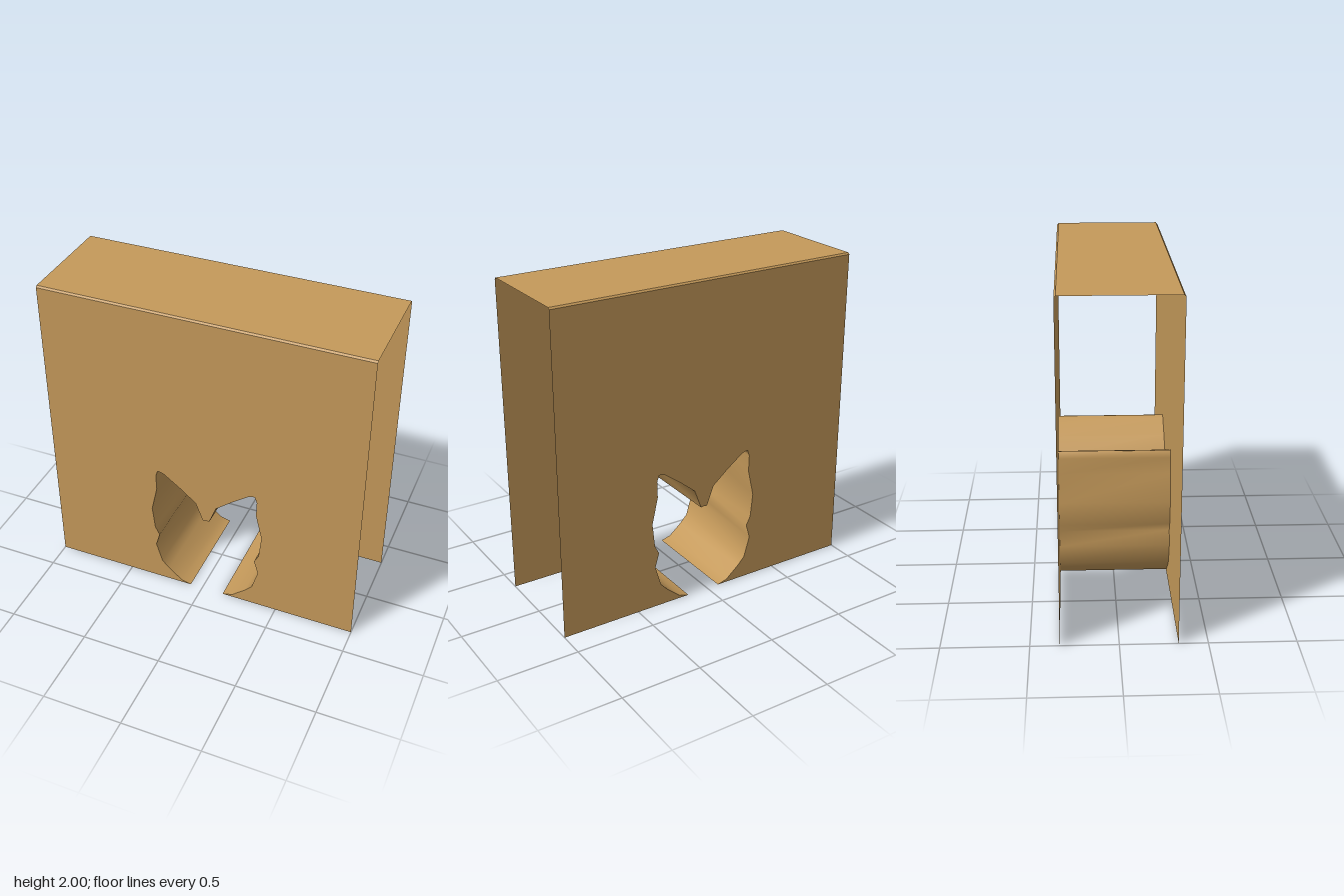
import * as THREE from 'three';

const HALF_DEPTH = 0.333;
const HEIGHT = 2;
const BEVEL = 0.01;
const ARCH_CENTRE = 0.031;

// Left half of the cat-shaped opening, from the floor up to the middle of the brow,
// as [distance from the opening's centre line, height]
const HALF_ARCH = [
  [0.111, 0], [0.176, 0.018], [0.261, 0.09], [0.308, 0.14], [0.346, 0.27],
  [0.32, 0.36], [0.348, 0.415], [0.364, 0.565], [0.326, 0.735], [0.329, 0.838],
  [0.316, 0.875], [0.305, 0.877], [0.276, 0.868], [0.17, 0.79], [0.067, 0.705],
  [0.021, 0.583], [0, 0.588],
];

function archPoints() {
  const left = HALF_ARCH.map(([d, y]) => new THREE.Vector2(ARCH_CENTRE - d, y));
  const right = HALF_ARCH.slice(0, -1).reverse()
    .map(([d, y]) => new THREE.Vector2(ARCH_CENTRE + d, y));
  return [...left, ...right];
}

// Surface swept straight between two ends of a path
function ribbon(starts, ends) {
  const positions = [];
  const index = [];
  starts.forEach((p, i) => {
    positions.push(...p.toArray(), ...ends[i].toArray());
    if (i > 0) {
      const a = 2 * (i - 1);
      index.push(a, a + 1, a + 2, a + 1, a + 3, a + 2);
    }
  });
  const geometry = new THREE.BufferGeometry();
  geometry.setAttribute('position', new THREE.Float32BufferAttribute(positions, 3));
  geometry.setIndex(index);
  return geometry;
}

export function createModel() {
  const group = new THREE.Group();
  const wood = new THREE.MeshStandardMaterial({ color: 0xc4995a, side: THREE.DoubleSide });
  wood.name = 'wood';

  const add = (name, geometry) => {
    const mesh = new THREE.Mesh(geometry, wood);
    mesh.name = name;
    group.add(mesh);
    return mesh;
  };

  const arch = archPoints();

  // Thin front and back walls, each cut by the opening
  const outline = new THREE.Shape([
    new THREE.Vector2(-1, 0),
    ...arch,
    new THREE.Vector2(1, 0),
    new THREE.Vector2(1, HEIGHT - BEVEL),
    new THREE.Vector2(-1, HEIGHT - BEVEL),
  ]);
  add('frontWall', new THREE.ShapeGeometry(outline)).position.z = HALF_DEPTH;

  const backGeometry = new THREE.ShapeGeometry(outline);
  backGeometry.index.array.reverse();
  backGeometry.computeVertexNormals();
  add('backWall', backGeometry).position.z = -HALF_DEPTH;

  // Top sheet with a small bevel along its front and back edges
  const section = [
    [HEIGHT - BEVEL, HALF_DEPTH],
    [HEIGHT, HALF_DEPTH - BEVEL],
    [HEIGHT, -HALF_DEPTH + BEVEL],
    [HEIGHT - BEVEL, -HALF_DEPTH],
  ];
  const top = ribbon(
    section.map(([y, z]) => new THREE.Vector3(-1, y, z)),
    section.map(([y, z]) => new THREE.Vector3(1, y, z)),
  ).toNonIndexed();
  top.computeVertexNormals();
  add('topSheet', top);

  // Smooth tunnel lining that joins the two openings
  const tunnel = ribbon(
    arch.map((p) => new THREE.Vector3(p.x, p.y, HALF_DEPTH)),
    arch.map((p) => new THREE.Vector3(p.x, p.y, -HALF_DEPTH)),
  );
  tunnel.computeVertexNormals();
  add('tunnelLining', tunnel);

  return group;
}
